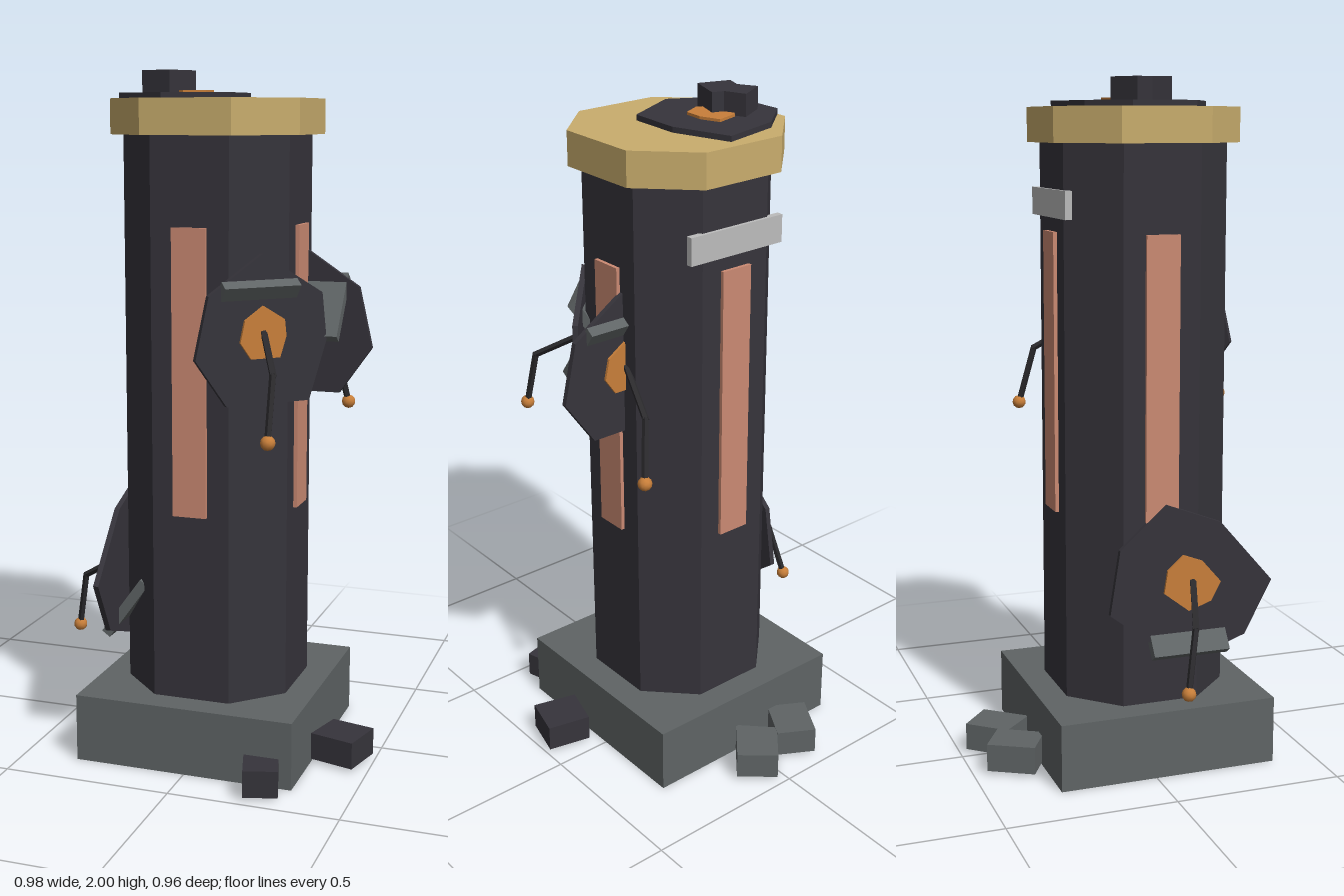
import * as THREE from 'three';

const mat = (name, color) => {
  const m = new THREE.MeshStandardMaterial({ color });
  m.name = name;
  return m;
};

export function createModel() {
  const root = new THREE.Group();
  const dark = mat('charcoal', 0x36343b);
  const stone = mat('stoneGrey', 0x5f6465);
  const tan = mat('tan', 0xc9ad6d);
  const salmon = mat('salmon', 0xcb8a73);
  const orange = mat('orange', 0xc87f3a);
  const black = mat('stemBlack', 0x2c2b2e);
  const silver = mat('silver', 0xbcbcbc);
  const CX = -0.005, CZ = 0.04; // centre of the pillar

  const add = (parent, name, geo, material, x = 0, y = 0, z = 0) => {
    const m = new THREE.Mesh(geo, material);
    m.name = name;
    m.position.set(x, y, z);
    parent.add(m);
    return m;
  };
  const shapeOf = (pts, s = 1) => new THREE.Shape(pts.map(([x, y]) => new THREE.Vector2(x * s, y * s)));
  const plate = (pts, depth, s = 1) =>
    new THREE.ExtrudeGeometry(shapeOf(pts, s), { depth, bevelEnabled: false });
  // upright prism from an outline of [x, z] corners
  const prism = (pts, y0, y1) =>
    plate(pts.map(([x, z]) => [x, -z]), y1 - y0).rotateX(-Math.PI / 2).translate(0, y0, 0);
  // square with cut corners: a = half width, b = half length of the straight side
  const octagon = (a, b) =>
    [[b, -a], [a, -b], [a, b], [b, a], [-b, a], [-a, b], [-a, -b], [-b, -a]].map(([x, z]) => [x + CX, z + CZ]);

  // Pillar
  add(root, 'base', new THREE.BoxGeometry(0.66, 0.2, 0.66), stone, CX, 0.1, CZ);
  add(root, 'column', prism(octagon(0.247, 0.115), 0.2, 1.82), dark);
  add(root, 'cap', prism(octagon(0.28, 0.132), 1.82, 1.92), tan);

  // Inlaid panel on each main side
  for (let i = 0; i < 4; i++) {
    const a = i * Math.PI / 2;
    const p = add(root, 'panel', new THREE.BoxGeometry(0.1, 0.82, 0.02), salmon,
      CX + Math.sin(a) * 0.248, 1.16, CZ + Math.cos(a) * 0.248);
    p.rotation.y = a;
  }
  add(root, 'backPlate', new THREE.BoxGeometry(0.325, 0.08, 0.02), silver, CX, 1.65, -0.207);

  // Rocks around the base
  const rocks = [
    [stone, [[-0.215, -0.335], [-0.145, -0.46], [-0.04, -0.4], [-0.11, -0.275]]],
    [stone, [[-0.06, -0.375], [0.03, -0.48], [0.125, -0.4], [0.03, -0.285]]],
    [dark, [[0.36, 0.04], [0.49, 0.07], [0.457, 0.2], [0.325, 0.165]]],
    [dark, [[0.18, 0.36], [0.215, 0.478], [0.31, 0.45], [0.277, 0.335]]],
  ];
  rocks.forEach(([m, pts], i) => add(root, 'rock', prism(pts, 0.01, 0.092 - i * 0.001), m));

  // Seven-sided plate with a centre, a slanted slab and a drooping stem; faces local +z
  const flower = (name, pts, x, y, z, turn, flip) => {
    const g = new THREE.Group();
    g.name = name;
    g.position.set(x, y, z);
    g.rotation.y = turn;
    add(g, 'petalPlate', plate(pts, 0.016), dark, 0, 0, -0.006);
    add(g, 'flowerCentre', plate(pts, 0.008, 0.35), orange, 0, 0, 0.01);
    const slab = add(g, 'slab', new THREE.BoxGeometry(0.235, 0.21, 0.03), stone,
      -0.01, flip ? -0.13 : 0.055, flip ? -0.025 : -0.037);
    slab.rotation.x = flip ? -0.63 : 0.63;
    // stem in two straight pieces
    const joints = [[0, 0, 0.02], [-0.05, -0.09, 0.168], [-0.085, -0.265, 0.207]]
      .map((p) => new THREE.Vector3(...p));
    for (let i = 0; i < 2; i++) {
      const d = joints[i + 1].clone().sub(joints[i]);
      const len = d.length();
      const s = add(g, 'stem', new THREE.CylinderGeometry(0.01, 0.01, len + 0.008, 5).toNonIndexed(), black);
      s.geometry.computeVertexNormals();
      s.position.copy(joints[i]).addScaledVector(d, 0.5);
      s.quaternion.setFromUnitVectors(new THREE.Vector3(0, 1, 0), d.normalize());
    }
    add(g, 'stemBead', new THREE.IcosahedronGeometry(0.021, 1), orange, ...joints[2].toArray());
    root.add(g);
  };

  const upper = [[0, 0.22], [0.19, 0.105], [0.205, -0.03], [0.15, -0.2], [-0.11, -0.2], [-0.205, -0.065], [-0.165, 0.11]];
  const lower = [[-0.08, 0.235], [0.09, 0.17], [0.255, -0.02], [0.17, -0.18], [-0.03, -0.25], [-0.25, -0.08], [-0.22, 0.11]];
  flower('frontFlower', upper, 0.185, 1.28, 0.231, Math.PI / 4, false);
  flower('sideFlower', upper, 0.24, 1.28, -0.012, Math.PI, false);
  flower('lowFlower', lower, -0.258, 0.565, 0.13, -Math.PI / 2, true);

  // Ornament lying on the cap
  const top = [[0.01, -0.202], [0.07, -0.03], [0.065, 0.135], [-0.11, 0.224], [-0.275, 0.13], [-0.285, -0.06], [-0.17, -0.16]];
  const heart = [[-0.06, -0.075], [-0.038, -0.015], [-0.042, 0.045], [-0.1, 0.075], [-0.15, 0.045], [-0.16, -0.01], [-0.13, -0.055]];
  const block = [[-0.237, -0.03], [-0.15, -0.078], [-0.125, -0.015], [-0.09, -0.005], [-0.13, 0.105], [-0.225, 0.075], [-0.207, 0.025]];
  add(root, 'topPlate', prism(top, 1.92, 1.936), dark);
  add(root, 'topCentre', prism(heart, 1.936, 1.944), orange);
  add(root, 'topBlock', prism(block, 1.936, 2), dark);

  return root;
}
